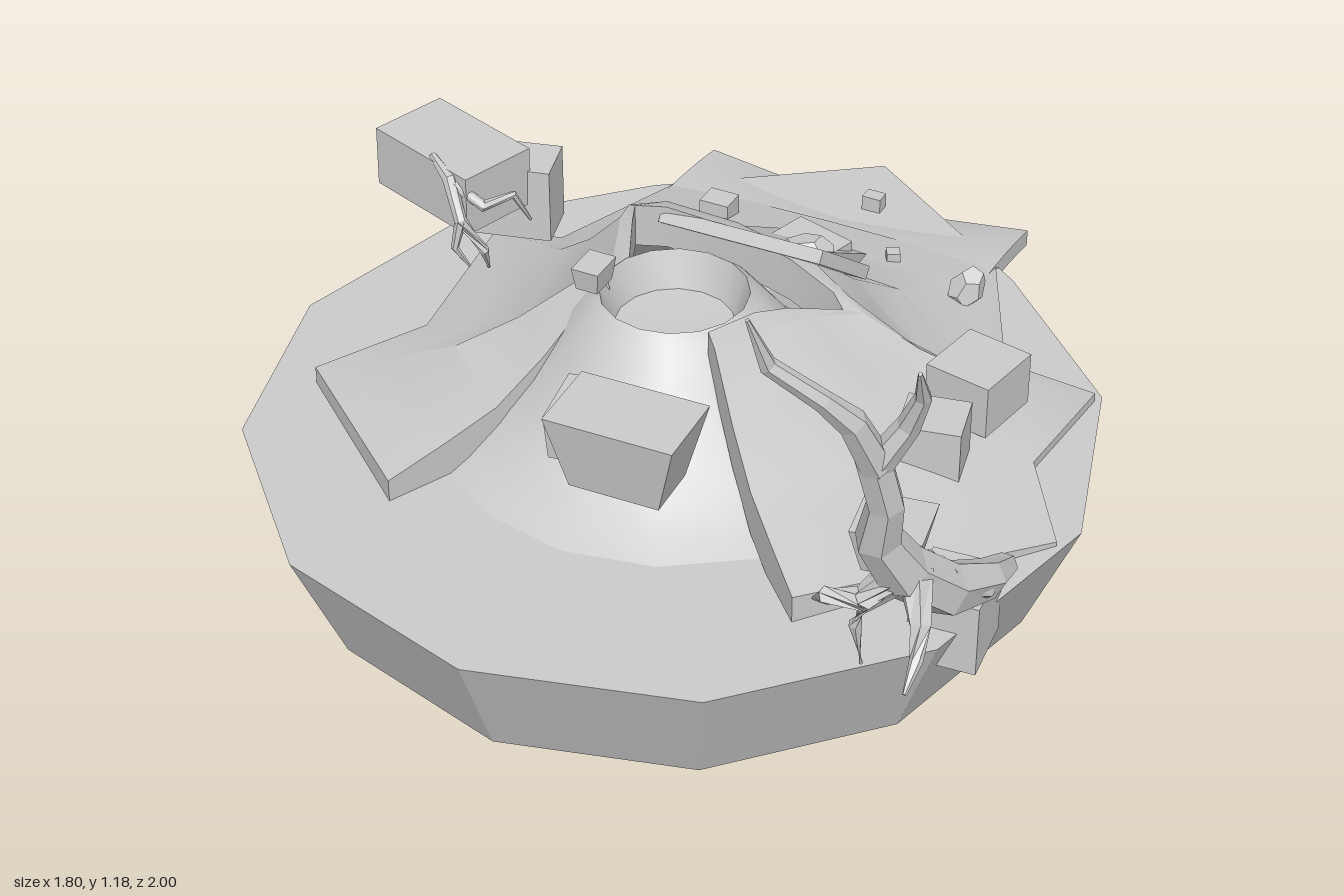
import * as THREE from 'three';
import { toCreasedNormals } from 'three/addons/utils/BufferGeometryUtils.js';

const flat = new THREE.MeshStandardMaterial({ color: 0xcccccc, flatShading: true, side: THREE.DoubleSide });
const smooth = new THREE.MeshStandardMaterial({ color: 0xcccccc, side: THREE.DoubleSide });

// Skin a list of equal-length point loops and close both ends
function loft(loops) {
  const n = loops[0].length, idx = [];
  const pos = loops.flat().flatMap((p) => [p.x, p.y, p.z]);
  for (let i = 0; i < loops.length - 1; i++)
    for (let j = 0; j < n; j++) {
      const a = i * n + j, b = i * n + (j + 1) % n;
      idx.push(a, a + n, b, b, a + n, b + n);
    }
  const last = (loops.length - 1) * n;
  for (let j = 0; j < n / 2 - 1; j++) {
    // end caps as strips, so thin bent outlines close cleanly
    const a = j, b = j + 1, c = n - 2 - j, d = n - 1 - j;
    for (const [p, q, r] of [[a, b, d], [b, c, d]]) {
      idx.push(p, q, r);
      idx.push(last + p, last + r, last + q);
    }
  }
  const g = new THREE.BufferGeometry();
  g.setAttribute('position', new THREE.Float32BufferAttribute(pos, 3));
  g.setIndex(idx);
  g.computeVertexNormals();
  return g;
}

// Tapered crooked limb through points [x, y, z, radius]
function limb(points, sides = 6) {
  const P = points.map((p) => new THREE.Vector3(p[0], p[1], p[2]));
  const up = new THREE.Vector3(0, 1, 0);
  return loft(P.map((p, i) => {
    const dir = P[Math.min(i + 1, P.length - 1)].clone().sub(P[Math.max(i - 1, 0)]).normalize();
    const q = new THREE.Quaternion().setFromUnitVectors(up, dir);
    return Array.from({ length: sides }, (_, j) => {
      const a = (j / sides) * Math.PI * 2, r = points[i][3];
      return new THREE.Vector3(Math.cos(a) * r, 0, Math.sin(a) * r).applyQuaternion(q).add(p);
    });
  }));
}

export function createModel() {
  const root = new THREE.Group();
  const add = (name, geo, mat = flat, parent = root) => {
    const m = new THREE.Mesh(geo, mat);
    m.name = name;
    parent.add(m);
    return m;
  };

  // Twelve-sided base with its rear top corner pulled out to a point
  const base = new THREE.CylinderGeometry(0.9, 0.79, 0.27, 12);
  base.translate(0, 0.135, 0.1);
  const bp = base.attributes.position;
  for (let i = 0; i < bp.count; i++)
    if (bp.getY(i) > 0.2 && bp.getZ(i) < -0.75) bp.setZ(i, -1);
  add('base', base);

  // Smooth inner mound with a crater
  const profile = [[0.53, 0.26], [0.46, 0.29], [0.38, 0.34], [0.3, 0.41], [0.23, 0.5],
    [0.18, 0.56], [0.155, 0.58], [0.125, 0.5], [0, 0.49]].map((p) => new THREE.Vector2(...p));
  const mound = toCreasedNormals(new THREE.LatheGeometry(profile, 16), 0.6);
  add('mound', mound, smooth).position.z = 0.1;

  // Thick broken crust round the mound, open at the front
  // [outer x, z, outer height, inner x, z, inner height]
  const crust = [
    [-0.38, 0.62, 0.32, -0.14, 0.12, 0.57],
    [-0.73, 0.34, 0.31, -0.16, 0.09, 0.57],
    [-0.60, 0.10, 0.31, -0.14, 0.03, 0.58],
    [-0.67, -0.33, 0.29, -0.20, -0.10, 0.58],
    [-0.52, -0.36, 0.29, -0.22, -0.15, 0.58],
    [-0.40, -0.70, 0.28, -0.15, -0.16, 0.59],
    [0.00, -0.70, 0.285, 0.00, -0.15, 0.59],
    [0.40, -0.70, 0.28, 0.16, -0.12, 0.57],
    [0.56, -0.35, 0.29, 0.27, -0.09, 0.54],
    [0.77, -0.33, 0.29, 0.30, -0.07, 0.52],
    [0.74, -0.05, 0.29, 0.22, 0.03, 0.56],
    [0.87, 0.16, 0.28, 0.18, 0.10, 0.58],
    [0.50, 0.60, 0.33, 0.14, 0.23, 0.60],
  ];
  const steps = [[0, 0], [0.25, 0.12], [0.48, 0.25], [0.7, 0.55], [0.92, 0.95], [1, 1]];
  const sections = crust.map(([ox, oz, oy, ix, iz, iy]) => {
    const top = steps.map(([t, h]) => new THREE.Vector3(
      ox + (ix - ox) * t, oy + (iy - oy) * h, oz + (iz - oz) * t));
    const under = top.map((p) => new THREE.Vector3(p.x, Math.max(0.25, p.y - 0.1), p.z));
    return [...top, ...under.reverse()];
  });
  add('crust', toCreasedNormals(loft(sections), 0.5), smooth);

  // Drooping tongue at the back, sagging most in the middle
  const tongue = new THREE.BoxGeometry(0.8, 0.04, 0.4, 12, 1, 10);
  tongue.translate(0, -0.02, -0.7);
  const tp = tongue.attributes.position;
  for (let i = 0; i < tp.count; i++) {
    const d = Math.max(0, -0.6 - tp.getZ(i));
    const k = 0.9 - 0.6 * Math.abs(tp.getX(i)) / 0.4;
    tp.setY(i, tp.getY(i) + 0.288 - k * d * d);
  }
  tongue.computeVertexNormals();
  add('rearTongue', toCreasedNormals(tongue, 0.6), smooth);

  // Blocks: [name, size xyz, position xyz, rotation xyz, bottom scale]
  const blocks = [
    ['floatingSlab', 0.27, 0.16, 0.17, 0.15, 0.57, 0.60, 0, 0.03, 0, 0.7],
    ['floatingCube', 0.12, 0.10, 0.15, 0.03, 0.55, 0.54, 0, 0.15, 0, 0.9],
    ['floatingBoulder', 0.27, 0.13, 0.17, -0.44, 0.82, 0.215, 0, -0.32, -0.02, 1],
    ['floatingBlock', 0.17, 0.16, 0.11, -0.34, 0.75, 0.14, 0, 0.25, 0, 1],
    ['floatingPebble', 0.06, 0.05, 0.08, -0.115, 0.665, 0.23, 0, 0, 0, 0.8],
    ['rightBlock', 0.15, 0.12, 0.16, 0.58, 0.385, -0.13, 0, -0.2, 0, 1],
    ['backBlock', 0.15, 0.09, 0.13, 0.06, 0.37, -0.42, 0, -0.3, 0, 1],
    ['backPebble', 0.07, 0.06, 0.06, -0.23, 0.325, -0.58, 0, 0, 0, 1],
    ['backPebble', 0.03, 0.03, 0.03, 0.20, 0.32, -0.58, 0, 0.5, 0, 1],
    ['rearPebble', 0.045, 0.04, 0.035, 0.05, 0.285, -0.82, 0, 0, 0, 1],
    ['edgeBlock', 0.14, 0.16, 0.15, 0.76, 0.26, 0.42, 0, 0.08, 0, 1],
    ['treeBlock', 0.14, 0.10, 0.13, 0.68, 0.50, 0.55, 0, 0.15, 0, 0.7],
    ['sideBlock', 0.13, 0.12, 0.12, 0.57, 0.38, 0.08, 0, 0.2, 0, 1],
    ['backPlate', 0.40, 0.03, 0.22, 0.05, 0.52, -0.22, -0.65, -0.15, 0, 1],
    ['lowerPlate', 0.24, 0.03, 0.20, 0.04, 0.40, -0.41, -0.5, -0.2, 0, 0.9],
  ];
  for (const [name, w, h, d, x, y, z, rx, ry, rz, taper] of blocks) {
    const g = new THREE.BoxGeometry(w, h, d), p = g.attributes.position;
    for (let i = 0; i < p.count; i++)
      if (p.getY(i) < 0) p.setXYZ(i, p.getX(i) * taper, p.getY(i), p.getZ(i) * taper);
    const m = add(name, g);
    m.position.set(x, y, z);
    m.rotation.set(rx, ry, rz);
  }

  // Jagged stones
  for (const [x, y, z, r, turn] of [[0.09, 0.43, -0.35, 0.06, 0.4], [0.4, 0.33, -0.52, 0.05, 1.2]]) {
    const s = add('jaggedStone', new THREE.DodecahedronGeometry(r, 0));
    s.position.set(x, y, z);
    s.rotation.set(turn, turn, 0);
    s.scale.set(1.1, 0.7, 0.8);
  }

  // Dead tree leaning out over the front edge
  const tree = new THREE.Group();
  tree.name = 'deadTree';
  root.add(tree);
  const limbs = {
    trunk: [[0.83, 0.34, 0.34, 0.025], [0.83, 0.38, 0.44, 0.04], [0.79, 0.43, 0.56, 0.055], [0.74, 0.52, 0.65, 0.055],
      [0.71, 0.62, 0.70, 0.045], [0.73, 0.72, 0.72, 0.036], [0.71, 0.85, 0.75, 0.036]],
    leftBranch: [[0.72, 0.82, 0.745, 0.034], [0.69, 0.93, 0.79, 0.028], [0.65, 0.99, 0.83, 0.02],
      [0.57, 1.07, 0.88, 0.017], [0.55, 1.18, 0.92, 0.004]],
    rightBranch: [[0.72, 0.82, 0.745, 0.03], [0.77, 0.91, 0.73, 0.023], [0.80, 0.99, 0.745, 0.016], [0.81, 1.07, 0.79, 0.004]],
    frontRoot: [[0.74, 0.52, 0.65, 0.04], [0.68, 0.46, 0.69, 0.026], [0.62, 0.47, 0.72, 0.018], [0.57, 0.40, 0.66, 0.004]],
    hangingRoot: [[0.74, 0.54, 0.66, 0.036], [0.69, 0.47, 0.70, 0.022], [0.66, 0.38, 0.67, 0.014], [0.67, 0.28, 0.66, 0.004]],
    sideRoot: [[0.76, 0.52, 0.64, 0.036], [0.80, 0.45, 0.70, 0.022], [0.81, 0.40, 0.74, 0.013], [0.81, 0.36, 0.79, 0.004]],
    backRoot: [[0.78, 0.47, 0.58, 0.04], [0.75, 0.39, 0.48, 0.026], [0.70, 0.37, 0.42, 0.016], [0.65, 0.35, 0.40, 0.004]],
    outerRoot: [[0.79, 0.45, 0.56, 0.035], [0.84, 0.39, 0.48, 0.022], [0.85, 0.36, 0.38, 0.006]],
  };
  for (const [name, pts] of Object.entries(limbs)) add(name, limb(pts), flat, tree);

  // Roots clinging to the floating boulder
  const roots = [
    [[-0.44, 0.885, 0.29, 0.008], [-0.38, 0.87, 0.33, 0.014], [-0.34, 0.80, 0.36, 0.013], [-0.30, 0.73, 0.34, 0.01], [-0.31, 0.67, 0.31, 0.003]],
    [[-0.37, 0.86, 0.33, 0.012], [-0.31, 0.82, 0.32, 0.012], [-0.27, 0.83, 0.27, 0.008], [-0.25, 0.76, 0.24, 0.003]],
    [[-0.34, 0.80, 0.36, 0.012], [-0.35, 0.74, 0.37, 0.008], [-0.33, 0.69, 0.35, 0.003]],
  ];
  roots.forEach((r) => add('clingingRoot', limb(r), flat));

  return root;
}
